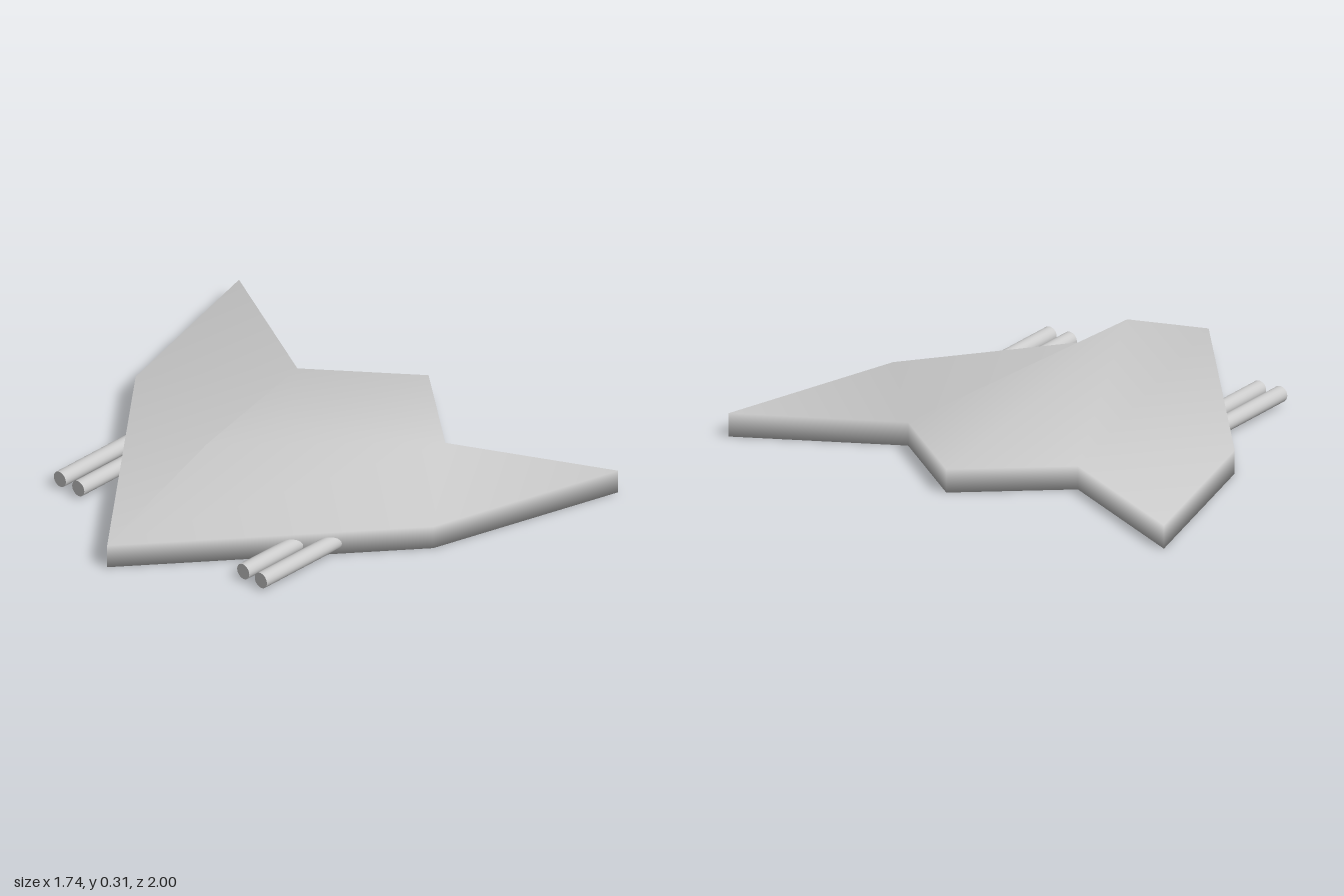
import * as THREE from 'three';

const DECK = 0.095; // height of the wing's upper face

// Half outline in plan (x, z): nose, wing shoulder, wing tip, rear notch, tail
const HALF = [[-0.87, 0], [0.09, 0.785], [0.87, 1], [0.56, 0.39], [0.87, 0]];

function hullGeometry() {
  const outline = [...HALF, ...HALF.slice(1, 4).reverse().map(([x, z]) => [x, -z])];
  const n = outline.length;
  const points = [
    ...outline.map(([x, z]) => [x, DECK, z]),
    ...outline.map(([x, z]) => [x, 0, z]),
    [-0.33, 0.31, 0], // peak of the spine
    [0.1, 0.215, 0], // rear of the spine
  ];
  const peak = 2 * n, rear = 2 * n + 1;
  const mirror = (i) => (i < n ? (n - i) % n : i < 2 * n ? n + ((2 * n - i) % n) : i);

  const index = [];
  const pair = (a, b, c) => index.push(a, b, c, mirror(a), mirror(c), mirror(b));

  // Flat wing, above and below
  for (const [a, b, c] of [[0, 1, 3], [1, 2, 3]]) {
    pair(a, b, c);
    pair(a + n, c + n, b + n);
  }
  pair(n, n + 4, n + 3);

  // Raised spine between nose, notches and tail
  pair(0, 3, peak);
  pair(peak, 3, rear);
  pair(rear, 3, 4);

  // Rim all the way round
  for (let i = 0; i < n; i++) {
    const j = (i + 1) % n;
    index.push(i, i + n, j + n, i, j + n, j);
  }

  const geometry = new THREE.BufferGeometry();
  geometry.setAttribute('position', new THREE.Float32BufferAttribute(points.flat(), 3));
  geometry.setIndex(index);
  geometry.computeVertexNormals(); // shared corners give the soft shading
  return geometry;
}

export function createModel() {
  const group = new THREE.Group();
  const material = new THREE.MeshStandardMaterial({ color: 0xcccccc });

  const hull = new THREE.Mesh(hullGeometry(), material);
  hull.name = 'hull';
  group.add(hull);

  // Twin cannons on each wing, pointing forward and sunk into the leading edge
  const x0 = -0.585, x1 = -0.1;
  const barrel = new THREE.CylinderGeometry(0.032, 0.032, x1 - x0, 24);
  barrel.rotateZ(Math.PI / 2);
  for (const [name, inner, outer] of [['leftCannons', 0.44, 0.533], ['rightCannons', -0.43, -0.527]]) {
    const cannons = new THREE.Group();
    cannons.name = name;
    for (const z of [inner, outer]) {
      const mesh = new THREE.Mesh(barrel, material);
      mesh.name = 'cannonBarrel';
      mesh.position.set((x0 + x1) / 2, 0.043, z);
      cannons.add(mesh);
    }
    group.add(cannons);
  }
  return group;
}
